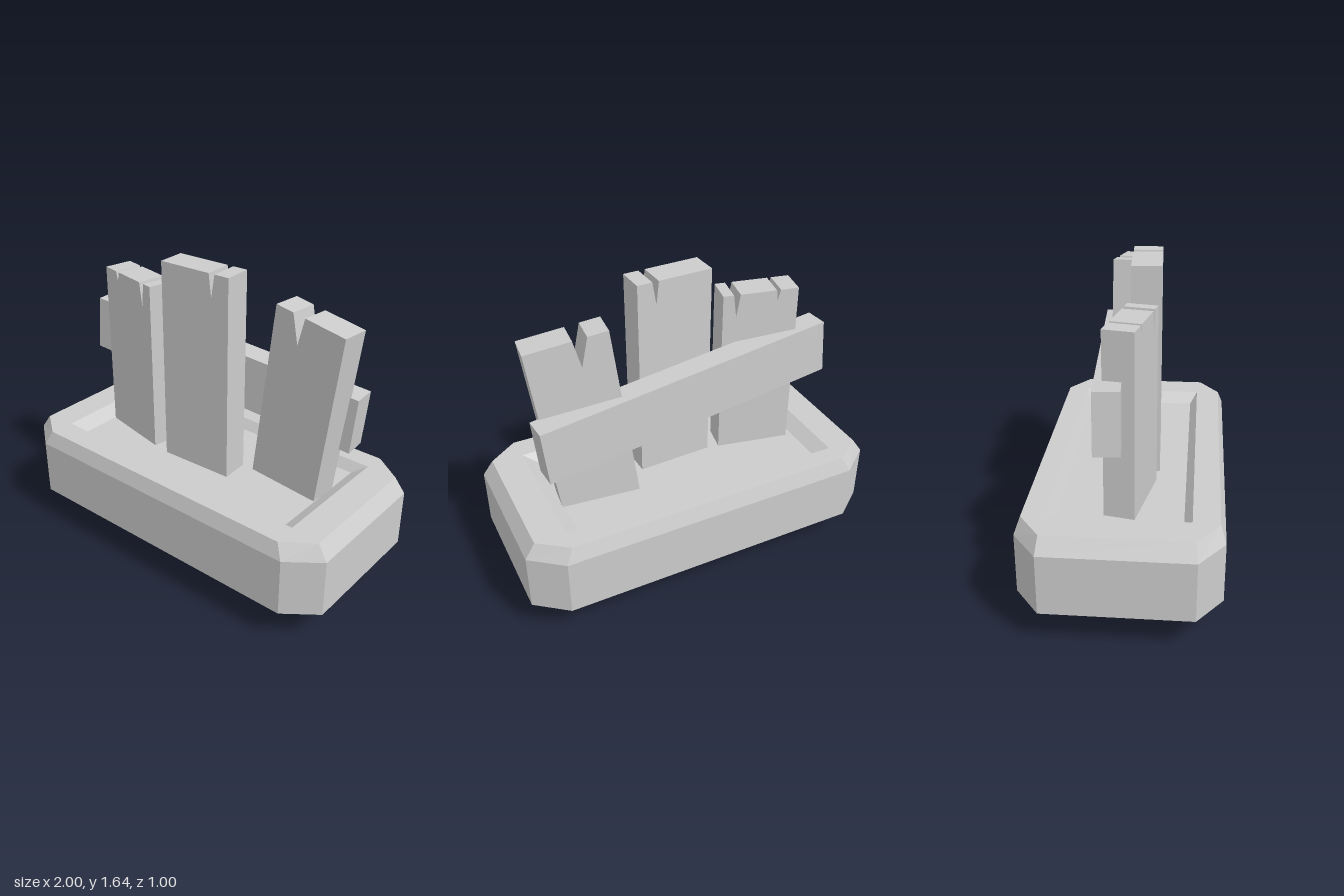
import * as THREE from 'three';

const gray = new THREE.MeshStandardMaterial({ color: 0xcccccc });
gray.name = 'plainGray';

// Eight corners of a chamfered rectangle, counter-clockwise from above
function ring(y, hx, hz, cx = hx, cz = hz, dz = 0) {
  return [[hx, cz], [hx, -cz], [cx, -hz], [-cx, -hz], [-hx, -cz], [-hx, cz], [-cx, hz], [cx, hz]]
    .map(([x, z]) => new THREE.Vector3(x, y, z + dz));
}

// Joins rings with flat faces and closes both ends
function loft(rings) {
  const pts = [];
  const tri = (a, b, c) => {
    const area = b.clone().sub(a).cross(c.clone().sub(a)).length();
    if (area > 1e-7) pts.push(a, b, c);
  };
  for (let r = 0; r < rings.length - 1; r++) {
    const lo = rings[r], hi = rings[r + 1];
    for (let i = 0; i < 8; i++) {
      const j = (i + 1) % 8;
      tri(lo[i], lo[j], hi[j]);
      tri(lo[i], hi[j], hi[i]);
    }
  }
  const first = rings[0], last = rings[rings.length - 1];
  for (let i = 1; i < 7; i++) {
    tri(first[0], first[i + 1], first[i]);
    tri(last[0], last[i], last[i + 1]);
  }
  const geo = new THREE.BufferGeometry().setFromPoints(pts);
  geo.computeVertexNormals();
  return geo;
}

// Upright board with V-shaped splits in its top edge: [left, tip, right, depth]
function plankGeometry(width, height, depth, splits) {
  const w = width / 2, h = height / 2;
  const shape = new THREE.Shape();
  shape.moveTo(w, h);
  shape.lineTo(-w, h);
  shape.lineTo(-w, -h);
  shape.lineTo(w, -h);
  shape.lineTo(w, h);
  const outline = [[-w, -h], [w, -h], [w, h]];
  for (const [l, tip, r, d] of [...splits].reverse()) outline.push([r, h], [tip, h - d], [l, h]);
  outline.push([-w, h]);
  const board = new THREE.Shape(outline.map(([x, y]) => new THREE.Vector2(x, y)));
  return new THREE.ExtrudeGeometry(board, { depth, bevelEnabled: false }).translate(0, 0, -depth / 2);
}

export function createModel() {
  const group = new THREE.Group();
  group.name = 'brokenFence';
  const add = (name, geo, position = [0, 0, 0], yaw = 0, roll = 0) => {
    const mesh = new THREE.Mesh(geo, gray);
    mesh.name = name;
    mesh.position.set(...position);
    mesh.rotation.set(0, yaw, roll);
    group.add(mesh);
  };

  // Chamfered slab with a shallow sunken bed
  add('base', loft([
    ring(0.18, 1, 0.5, 0.83, 0.37),
    ring(0.495, 1, 0.5, 0.83, 0.37),
    ring(0.575, 0.945, 0.472, 0.79, 0.36),
    ring(0.575, 0.78, 0.35, 0.78, 0.35, -0.01),
    ring(0.525, 0.705, 0.31, 0.705, 0.31, -0.01),
  ]));

  // Split planks standing through the base
  add('rightPlank', plankGeometry(0.41, 1.47, 0.155,
    [[-0.107, -0.092, -0.085, 0.055], [0.112, 0.132, 0.148, 0.125]]),
  [-0.483, 0.735, 0.027], -0.2);
  add('middlePlank', plankGeometry(0.415, 1.465, 0.152,
    [[0.09, 0.105, 0.125, 0.125]]), [0.007, 0.903, 0.072], 0.04);
  add('leftPlank', plankGeometry(0.42, 1.465, 0.148,
    [[-0.103, -0.05, -0.03, 0.153]]), [0.525, 0.759, -0.06], -0.1, -0.125);

  // Crooked rail across the back
  add('backRail', new THREE.BoxGeometry(1.665, 0.305, 0.128), [-0.015, 1.015, -0.108], 0.068, -0.09);

  return group;
}
